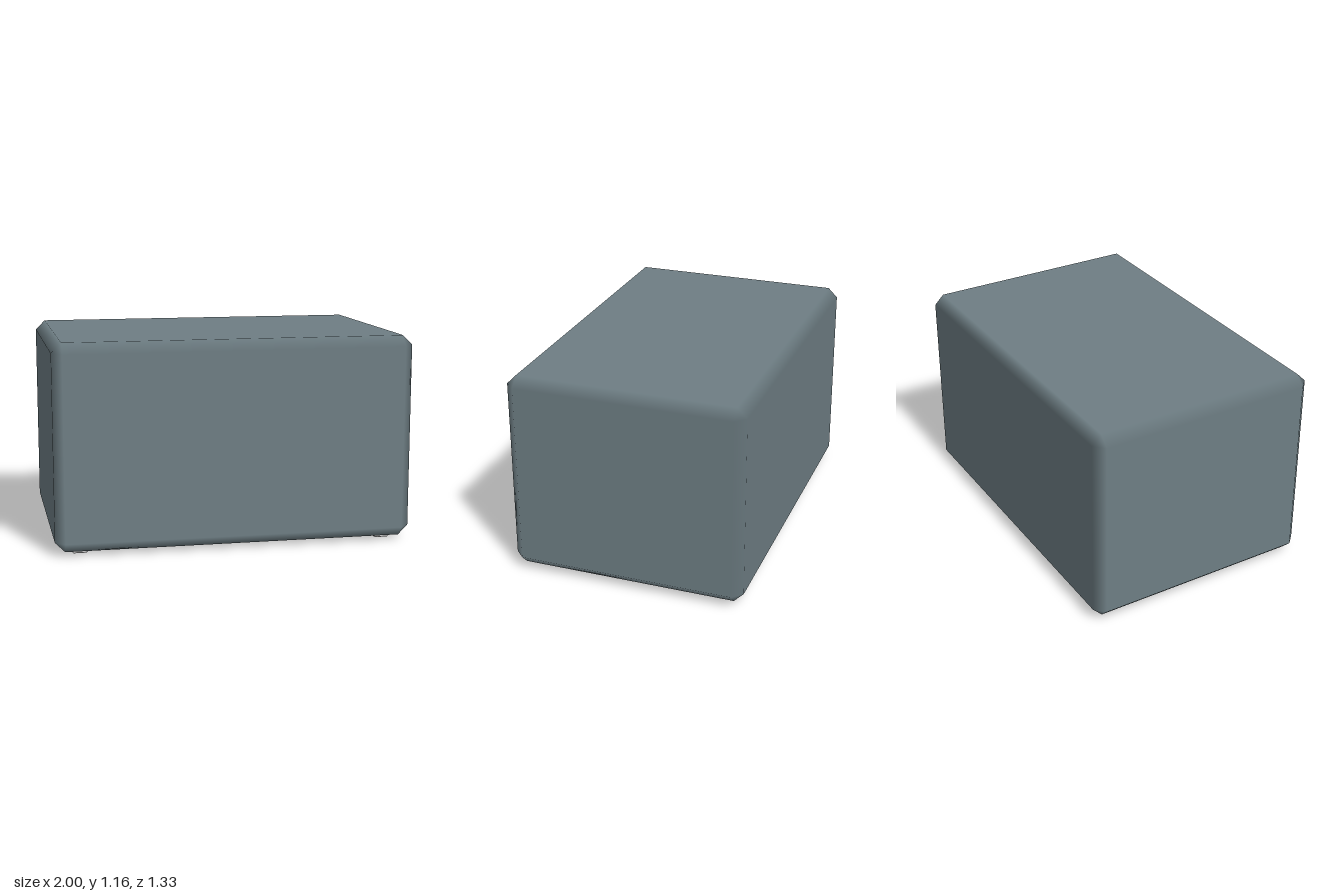
import * as THREE from 'three';

// Box with 45 degree chamfers; each corner has one vertex per adjoining face,
// carrying that face's normal, so faces stay flat and the chamfers blend smoothly.
function chamferedBox(w, h, d, c) {
  const half = [w / 2, h / 2, d / 2];
  const positions = [], normals = [], index = [];
  const signs = [-1, 1];
  for (const x of signs) for (const y of signs) for (const z of signs) {
    const s = [x, y, z];
    for (let axis = 0; axis < 3; axis++) {
      positions.push(...s.map((v, i) => v * (half[i] - (i === axis ? 0 : c))));
      normals.push(...s.map((v, i) => (i === axis ? v : 0)));
    }
  }
  const id = (s, axis) => 3 * ((s[0] > 0 ? 4 : 0) + (s[1] > 0 ? 2 : 0) + (s[2] > 0 ? 1 : 0)) + axis;
  const point = (i) => new THREE.Vector3().fromArray(positions, 3 * i);
  const normal = (i) => new THREE.Vector3().fromArray(normals, 3 * i);

  // Adds a triangle wound so that it faces outward
  const tri = (a, b, e) => {
    const n = point(b).sub(point(a)).cross(point(e).sub(point(a)));
    const out = normal(a).add(normal(b)).add(normal(e));
    if (n.dot(out) > 0) index.push(a, b, e);
    else index.push(a, e, b);
  };
  const quad = (a, b, e, f) => { tri(a, b, e); tri(a, e, f); };

  for (let a = 0; a < 3; a++) {
    const b = (a + 1) % 3, e = (a + 2) % 3;
    const corner = (sa, sb, se) => {
      const s = [];
      s[a] = sa; s[b] = sb; s[e] = se;
      return s;
    };
    for (const sa of signs) {
      // Flat face
      quad(...[[-1, -1], [1, -1], [1, 1], [-1, 1]].map(([u, v]) => id(corner(sa, u, v), a)));
      // Chamfers between the faces of axes a and b
      for (const sb of signs) {
        const p = corner(sa, sb, -1), q = corner(sa, sb, 1);
        quad(id(p, a), id(q, a), id(q, b), id(p, b));
      }
    }
  }
  // Corner triangles
  for (let k = 0; k < 8; k++) tri(3 * k, 3 * k + 1, 3 * k + 2);

  const geometry = new THREE.BufferGeometry();
  geometry.setAttribute('position', new THREE.Float32BufferAttribute(positions, 3));
  geometry.setAttribute('normal', new THREE.Float32BufferAttribute(normals, 3));
  geometry.setIndex(index);
  return geometry;
}

export function createModel() {
  const model = new THREE.Group();
  model.name = 'cabinet';

  // Casing
  const casing = new THREE.Mesh(
    chamferedBox(2, 1.14, 1.332, 0.055),
    new THREE.MeshStandardMaterial({ color: 0x6e7e84 })
  );
  casing.name = 'casing';
  casing.position.y = 0.023 + 0.57;
  model.add(casing);

  // Four small feet under the corners
  const footGeometry = chamferedBox(0.084, 0.024, 0.084, 0.006);
  const footMaterial = new THREE.MeshStandardMaterial({ color: 0xcccccc });
  for (const [sx, side] of [[1, 'Left'], [-1, 'Right']]) {
    for (const [sz, end] of [[1, 'front'], [-1, 'back']]) {
      const foot = new THREE.Mesh(footGeometry, footMaterial);
      foot.name = `${end}${side}Foot`;
      foot.position.set(sx * 0.86, 0.012, sz * 0.526);
      model.add(foot);
    }
  }
  return model;
}
